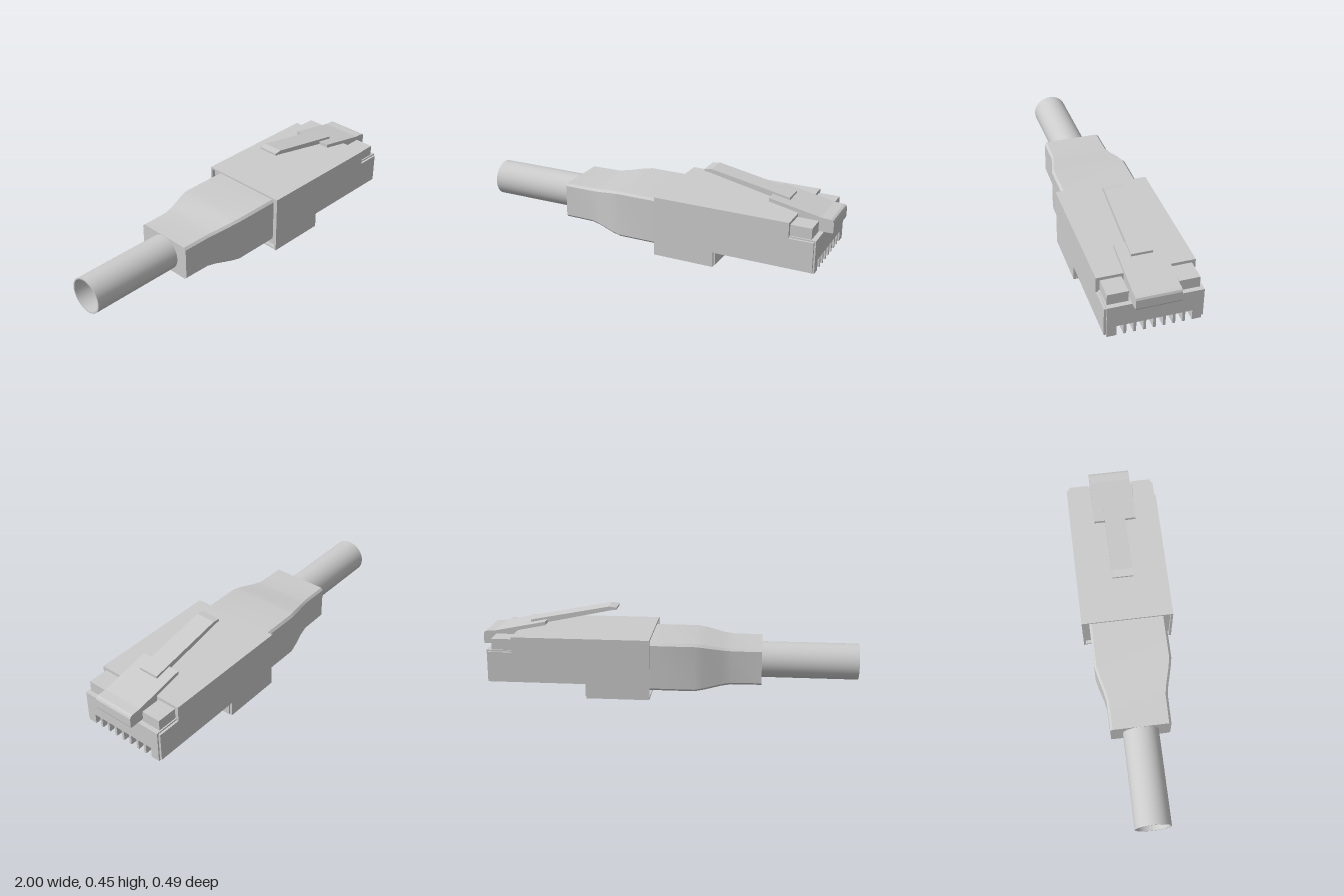
import * as THREE from 'three';
import { toCreasedNormals } from 'three/addons/utils/BufferGeometryUtils.js';

const grey = new THREE.MeshStandardMaterial({ color: 0xcccccc });
const greyOpen = new THREE.MeshStandardMaterial({ color: 0xcccccc, side: THREE.DoubleSide });

export function createModel() {
  const model = new THREE.Group();
  const add = (name, geometry, material = grey) => {
    const mesh = new THREE.Mesh(geometry, material);
    mesh.name = name;
    model.add(mesh);
    return mesh;
  };
  // Box given by its limits on each axis
  const box = (name, x0, x1, y0, y1, z0, z1) =>
    add(name, new THREE.BoxGeometry(x1 - x0, y1 - y0, z1 - z0)
      .translate((x0 + x1) / 2, (y0 + y1) / 2, (z0 + z1) / 2));
  // Side profile (x, y) extruded across z
  const slab = (name, points, z0, z1) => {
    const shape = new THREE.Shape(points.map(([x, y]) => new THREE.Vector2(x, y)));
    const geometry = new THREE.ExtrudeGeometry(shape, { depth: z1 - z0, bevelEnabled: false });
    return add(name, geometry.translate(0, 0, z0));
  };

  // Plug body: stepped below, notched at the top front, undercut for contacts
  slab('plugBody', [
    [0.11, 0.007], [0.43, 0.007], [0.43, 0.074], [0.75, 0.074], [0.75, 0.13],
    [0.95, 0.13], [0.95, 0.248], [0.815, 0.248], [0.815, 0.322], [0.11, 0.322],
  ], -0.235, 0.235);

  // Thin side walls, set back slightly around the front
  for (const s of [-1, 1]) {
    const z = s > 0 ? 0.235 : -0.247;
    slab('sideWall', [
      [0.09, 0], [0.422, 0], [0.422, 0.083], [0.942, 0.083],
      [0.942, 0.24], [0.815, 0.24], [0.815, 0.322], [0.09, 0.322],
    ], z, z + 0.012);
  }

  // Rim round the recessed rear face
  box('rearRimTop', 0.09, 0.11, 0.312, 0.322, -0.235, 0.235);
  box('rearRimBottom', 0.09, 0.11, 0.003, 0.013, -0.235, 0.235);

  // Ribs that leave eight contact slots between them
  const pitch = 0.0487, slot = 0.035;
  for (let i = 0; i <= 8; i++) {
    const z0 = i === 0 ? -0.235 : (i - 4.5) * pitch + slot / 2;
    const z1 = i === 8 ? 0.235 : (i - 3.5) * pitch - slot / 2;
    box('contactRib', 0.75, 0.95, 0.074, 0.13, z0, z1);
  }

  // Raised blocks in the front corner notches
  box('leftCornerBlock', 0.815, 0.925, 0.248, 0.306, 0.123, 0.228);
  box('rightCornerBlock', 0.815, 0.925, 0.248, 0.306, -0.228, -0.123);

  // Latch: wide hooked base and narrow spring lever
  slab('latchBase', [
    [0.66, 0.356], [0.815, 0.324], [0.815, 0.248], [0.995, 0.248], [0.997, 0.255],
    [0.997, 0.302], [0.992, 0.313], [0.98, 0.318], [0.93, 0.321], [0.66, 0.375],
  ], -0.113, 0.113);
  slab('latchLever', [
    [0.285, 0.435], [0.31, 0.432], [0.75, 0.339], [0.75, 0.37],
    [0.325, 0.451], [0.285, 0.446],
  ], -0.055, 0.055);

  // Boot: softly bevelled rectangular sections joined along x
  const sections = [
    [-0.49, 0.097, 0.16], [-0.33, 0.098, 0.162], [-0.28, 0.104, 0.172],
    [-0.19, 0.121, 0.196], [-0.14, 0.128, 0.206], [0.115, 0.128, 0.206],
  ];
  const bevel = 0.012, centreY = 0.167;
  const ring = (h, w) => [
    [h, -w + bevel], [h, w - bevel], [h - bevel, w], [-h + bevel, w],
    [-h, w - bevel], [-h, -w + bevel], [-h + bevel, -w], [h - bevel, -w],
  ];
  const positions = [], indices = [];
  for (const [x, h, w] of sections)
    for (const [y, z] of ring(h, w)) positions.push(x, centreY + y, z);
  for (let s = 0; s < sections.length - 1; s++)
    for (let k = 0; k < 8; k++) {
      const a = s * 8 + k, b = s * 8 + (k + 1) % 8;
      indices.push(a, b, b + 8, a, b + 8, a + 8);
    }
  const last = (sections.length - 1) * 8;
  for (let k = 1; k < 7; k++) {
    indices.push(0, k + 1, k);
    indices.push(last, last + k, last + k + 1);
  }
  const bootGeometry = new THREE.BufferGeometry();
  bootGeometry.setAttribute('position', new THREE.Float32BufferAttribute(positions, 3));
  bootGeometry.setIndex(indices);
  add('boot', toCreasedNormals(bootGeometry, 0.4));

  // Hollow cable sleeve, open at the far end
  const profile = [[0.096, -0.45], [0.096, -1], [0.089, -1], [0.089, -0.49]]
    .map(([r, x]) => new THREE.Vector2(r, x));
  const cable = toCreasedNormals(new THREE.LatheGeometry(profile, 40), 0.6);
  add('cable', cable.rotateZ(-Math.PI / 2).translate(0, centreY, 0), greyOpen);

  return model;
}
